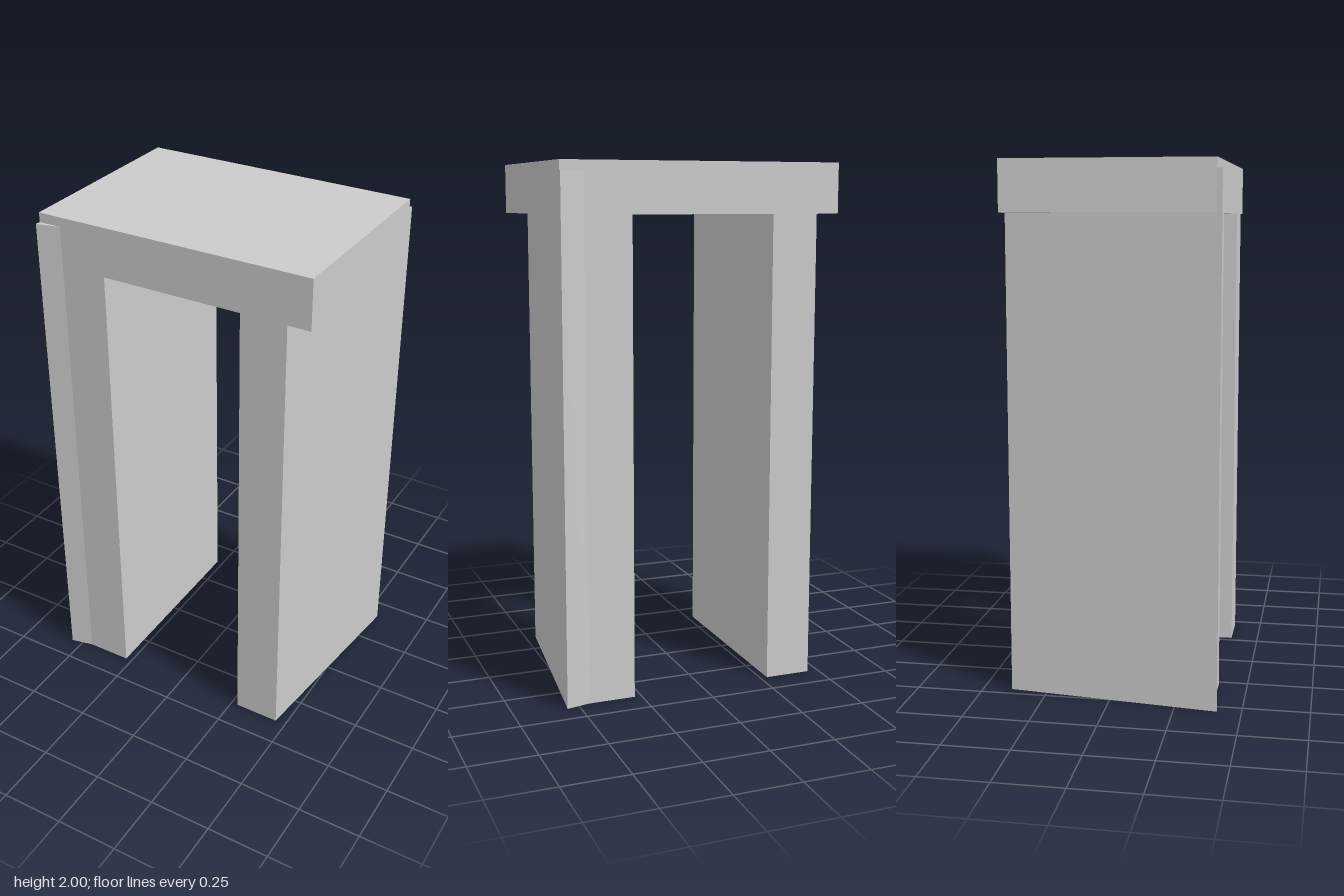
import * as THREE from 'three';

const material = new THREE.MeshStandardMaterial({ color: 0xcccccc, flatShading: true });

// Upright prism from a footprint of [x, z] points
function prism(name, points, bottom, top) {
  const shape = new THREE.Shape(points.map(([x, z]) => new THREE.Vector2(x, -z)));
  const geometry = new THREE.ExtrudeGeometry(shape, { depth: top - bottom, bevelEnabled: false });
  geometry.rotateX(-Math.PI / 2).translate(0, bottom, 0);
  const mesh = new THREE.Mesh(geometry, material);
  mesh.name = name;
  return mesh;
}

// Wall whose outer face slants out to a flared corner at the back
const wall = [[0.277, 0.39], [0.457, 0.39], [0.548, -0.41], [0.457, -0.39], [0.277, -0.39]];
// The flared corner alone, which runs up beside the slab
const flare = [[0.457, -0.39], [0.546, -0.39], [0.548, -0.41]];

export function createModel() {
  const group = new THREE.Group();
  group.name = 'archway';

  // Top slab
  const slab = new THREE.Mesh(new THREE.BoxGeometry(1.092, 0.19, 0.78), material);
  slab.name = 'topSlab';
  slab.position.y = 1.905;
  group.add(slab);

  // The two supports are half-turn copies of each other
  for (const [side, angle] of [['left', 0], ['right', Math.PI]]) {
    const support = new THREE.Group();
    support.name = side + 'Support';
    support.add(prism(side + 'Wall', wall, 0, 1.81), prism(side + 'Flare', flare, 1.81, 1.963));
    support.rotation.y = angle;
    group.add(support);
  }
  return group;
}
